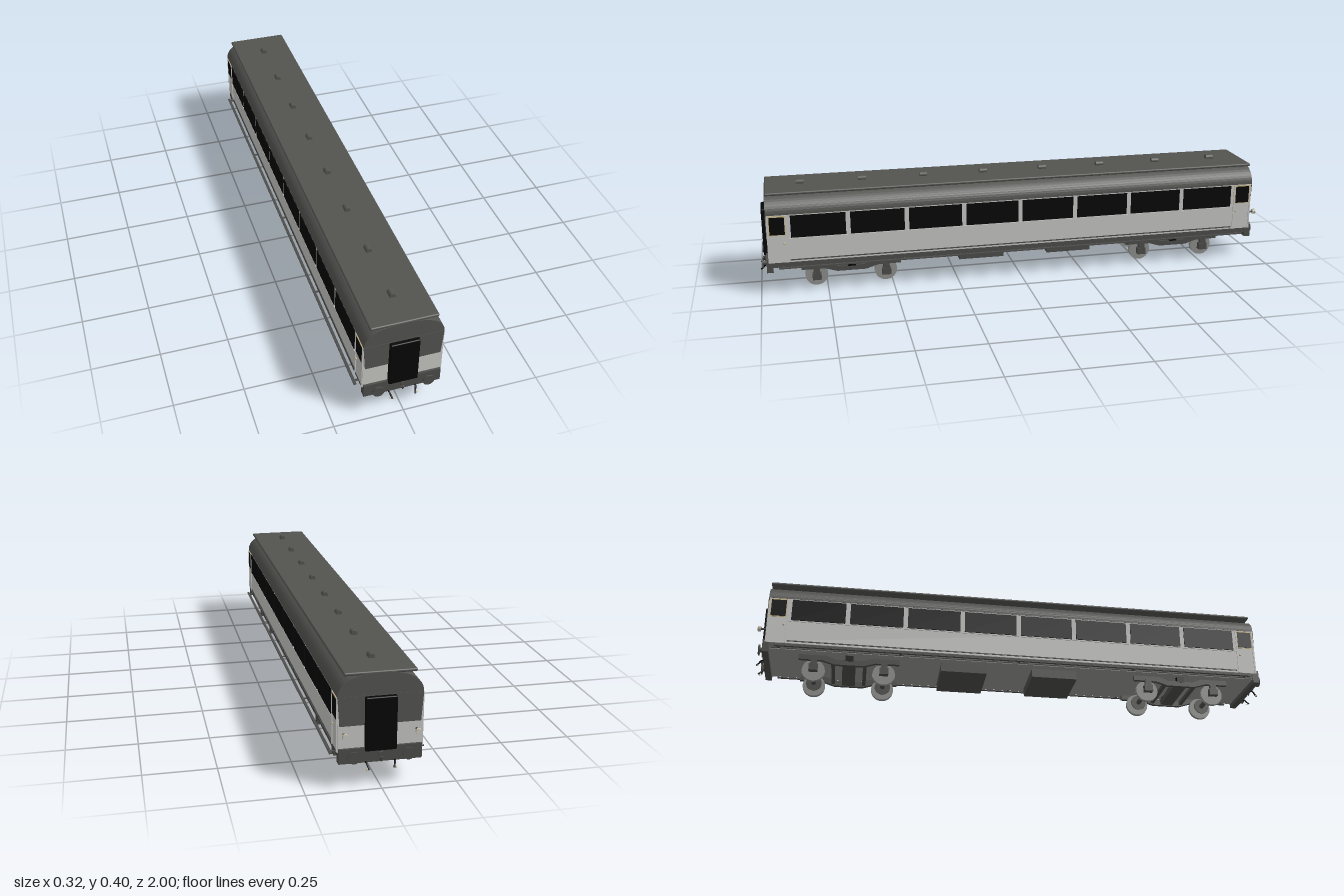
import * as THREE from 'three';
import { RoundedBoxGeometry } from 'three/addons/geometries/RoundedBoxGeometry.js';

const mat = (name, color) => {
  const m = new THREE.MeshStandardMaterial({ color });
  m.name = name;
  return m;
};

export function createModel() {
  const root = new THREE.Group();
  root.name = 'railwayCoach';
  const dark = mat('darkGrey', 0x535350);
  const light = mat('lightGrey', 0xc6c6c3);
  const black = mat('black', 0x060606);
  const steel = mat('wheelSteel', 0x8e8e8c);
  const frame = mat('underframeGrey', 0x4c4c4a);
  const floorGrey = mat('floorGrey', 0x949492);
  const brass = mat('brass', 0xcdb98a);

  const add = (name, geo, material, x = 0, y = 0, z = 0, parent = root) => {
    const m = new THREE.Mesh(geo, material);
    m.name = name;
    m.position.set(x, y, z);
    parent.add(m);
    return m;
  };
  const box = (name, w, h, d, material, x, y, z, parent) =>
    add(name, new THREE.BoxGeometry(w, h, d), material, x, y, z, parent);
  // Cylinder lying along x or z
  const rod = (name, r, len, axis, material, x, y, z, parent, seg = 20) => {
    const g = new THREE.CylinderGeometry(r, r, len, seg);
    if (axis === 'x') g.rotateZ(Math.PI / 2); else g.rotateX(Math.PI / 2);
    return add(name, g, material, x, y, z, parent);
  };
  const polygon = (points) => new THREE.Shape(points.map(([x, y]) => new THREE.Vector2(x, y)));
  const extrudeZ = (shape, len) => {
    const g = new THREE.ExtrudeGeometry(shape, { depth: len, bevelEnabled: false, curveSegments: 14 });
    return g.translate(0, 0, -len / 2);
  };

  // Body shell: light walls with a curved dark roof
  const halfL = 0.966;
  box('bodyWalls', 0.28, 0.188, halfL * 2, light, 0, 0.216, 0);
  const roof = new THREE.Shape();
  roof.moveTo(-0.141, 0.309);
  roof.lineTo(0.141, 0.309);
  roof.bezierCurveTo(0.141, 0.35, 0.105, 0.384, 0, 0.386);
  roof.bezierCurveTo(-0.105, 0.384, -0.141, 0.35, -0.141, 0.309);
  add('roof', extrudeZ(roof, halfL * 2 + 0.002), dark);
  add('roofBoard', new RoundedBoxGeometry(0.24, 0.011, 1.93, 3, 0.005), dark, 0, 0.3835, 0);
  for (const s of [-1, 1]) for (const z of [0.12, 0.358, 0.595, 0.832])
    rod('roofVent', 0.011, 0.03, 'z', dark, 0, 0.393, s * z);

  // Underframe, floor and equipment boxes
  box('underframe', 0.274, 0.022, 1.94, frame, 0, 0.113, 0);
  box('floor', 0.264, 0.003, 1.9, floorGrey, 0, 0.101, 0);
  for (const z of [0.148, -0.208]) box('equipmentBox', 0.2, 0.042, 0.178, frame, 0, 0.086, z);

  // Sides: windows, doors, handles and running boards
  for (const s of [-1, 1]) {
    for (let i = 0; i < 8; i++)
      box('sideWindow', 0.004, 0.086, 0.204, black, s * 0.141, 0.262, (i - 3.5) * 0.2215);
    box('waistMoulding', 0.005, 0.004, 1.77, light, s * 0.1405, 0.215, 0);
    box('lowerMoulding', 0.004, 0.004, 1.77, frame, s * 0.1405, 0.131, 0);
    box('runningBoard', 0.01, 0.004, 1.86, frame, s * 0.153, 0.104, 0);
    for (let i = -2; i <= 2; i++)
      box('boardBracket', 0.024, 0.003, 0.008, frame, s * 0.144, 0.104, i * 0.456);
    for (const e of [-1, 1]) {
      box('doorWindowFrame', 0.004, 0.076, 0.062, brass, s * 0.1405, 0.268, e * 0.927);
      box('doorWindow', 0.006, 0.068, 0.056, black, s * 0.1405, 0.267, e * 0.927);
      for (const d of [-0.034, 0.034])
        box('doorPost', 0.006, 0.186, 0.005, light, s * 0.1405, 0.215, e * (0.927 + d));
      add('doorHandle', new THREE.SphereGeometry(0.004, 10, 8), brass, s * 0.142, 0.198, e * 0.903);
    }
  }

  // Ends: gangway door, buffer beam, buffers, hook and hoses
  const endPanel = polygon([[-0.134, 0.211], [0.134, 0.211], [0.141, 0.311], [-0.141, 0.311]]);
  for (const e of [-1, 1]) {
    const end = new THREE.Group();
    end.name = e > 0 ? 'frontEnd' : 'backEnd';
    if (e < 0) end.rotation.y = Math.PI;
    root.add(end);
    add('endUpperPanel', extrudeZ(endPanel, 0.004), dark, 0, 0, 0.966, end);
    add('gangwayDoor', new RoundedBoxGeometry(0.104, 0.184, 0.02, 2, 0.004), black, 0, 0.216, 0.973, end);
    box('bufferBeam', 0.276, 0.051, 0.024, frame, 0, 0.109, 0.962, end);
    for (const s of [-1, 1]) {
      rod('bufferShank', 0.009, 0.014, 'z', frame, s * 0.09, 0.109, 0.979, end);
      rod('bufferHead', 0.021, 0.005, 'z', frame, s * 0.09, 0.109, 0.988, end, 28);
      const hose = new THREE.CatmullRomCurve3([
        new THREE.Vector3(s * 0.049, 0.086, 0.97), new THREE.Vector3(s * 0.047, 0.083, 0.981),
        new THREE.Vector3(s * 0.044, 0.074, 0.988), new THREE.Vector3(s * 0.041, 0.066, 0.997)]);
      add('brakeHose', new THREE.TubeGeometry(hose, 12, 0.003, 8), black, 0, 0, 0, end);
      add('hoseCoupling', new THREE.SphereGeometry(0.003, 10, 8), brass, s * 0.048, 0.066, 0.99, end);
    }
    box('hookPlate', 0.014, 0.018, 0.008, frame, 0, 0.109, 0.977, end);
    const hook = add('couplingHook', new THREE.ConeGeometry(0.008, 0.02, 8), frame, 0, 0.093, 0.981, end);
    hook.rotation.x = Math.PI;
  }
  // Tail lamps
  for (const s of [-1, 1]) {
    rod('tailLampBracket', 0.004, 0.022, 'z', frame, s * 0.12, 0.184, -0.975);
    rod('tailLamp', 0.01, 0.012, 'z', light, s * 0.12, 0.184, -0.992);
    rod('tailLampRing', 0.0108, 0.004, 'z', brass, s * 0.12, 0.184, -0.994);
  }

  // Bogies
  const side = polygon([[-0.19, 0.075], [-0.19, 0.094], [-0.085, 0.094], [-0.05, 0.08], [0.05, 0.08],
    [0.085, 0.094], [0.19, 0.094], [0.19, 0.075], [0.1, 0.074], [0.055, 0.06], [-0.055, 0.06], [-0.1, 0.074]]);
  for (const bz of [0.657, -0.648]) {
    const bogie = new THREE.Group();
    bogie.name = 'bogie';
    bogie.position.z = bz;
    root.add(bogie);
    box('bolster', 0.21, 0.022, 0.05, frame, 0, 0.073, 0, bogie);
    rod('pivot', 0.02, 0.03, 'x', frame, 0, 0.09, 0, bogie);
    for (const z of [-0.06, 0.06]) box('transom', 0.2, 0.012, 0.014, frame, 0, 0.072, z, bogie);
    for (const s of [-1, 1]) {
      const f = add('sideFrame', extrudeZ(side, 0.014), frame, s * 0.102, 0, 0, bogie);
      f.rotation.y = Math.PI / 2;
      box('bolsterSpring', 0.02, 0.03, 0.03, black, s * 0.1, 0.092, 0, bogie);
    }
    for (const z of [-0.133, 0.133]) {
      rod('axle', 0.009, 0.2, 'x', frame, 0, 0.044, z, bogie);
      for (const s of [-1, 1]) {
        rod('wheel', 0.043, 0.012, 'x', steel, s * 0.077, 0.043, z, bogie, 32);
        rod('wheelFlange', 0.0435, 0.003, 'x', steel, s * 0.07, 0.0435, z, bogie, 32);
        rod('brakeDisc', 0.03, 0.004, 'x', frame, s * 0.047, 0.044, z, bogie, 24);
        box('axleBox', 0.022, 0.026, 0.034, frame, s * 0.103, 0.044, z, bogie);
        box('axleBoxGuide', 0.016, 0.03, 0.024, frame, s * 0.103, 0.066, z, bogie);
      }
    }
  }
  return root;
}
